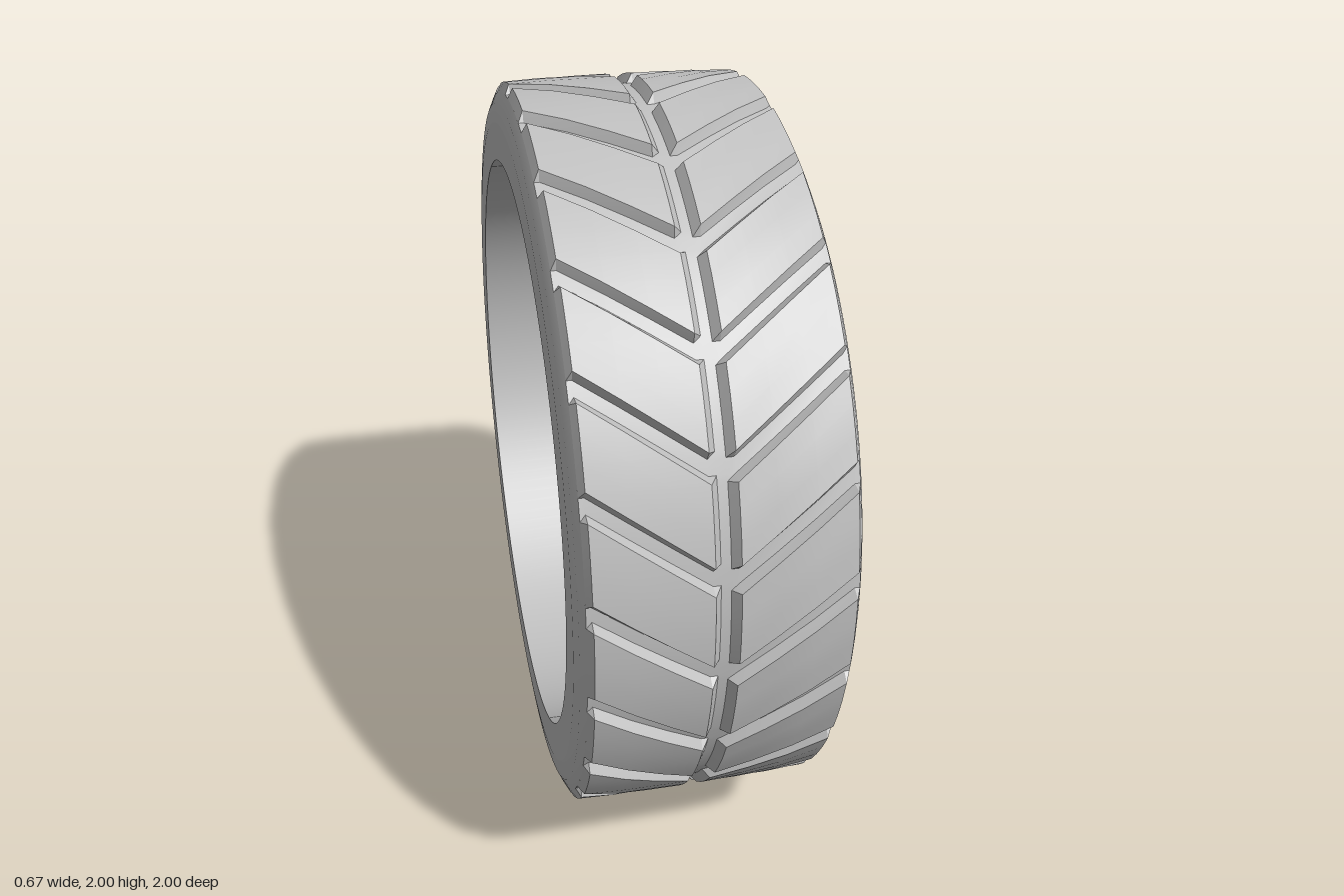
import * as THREE from 'three';
import { toCreasedNormals } from 'three/addons/utils/BufferGeometryUtils.js';

const DEG = Math.PI / 180;
const GROOVES = 24;
const PITCH = 360 / GROOVES;
const DEPTH = 0.025;

// Half of the tread section: [x, radius, groove depth], from centre to shoulder
const HALF = [
  [0.012, 0.975, 0],
  [0.03, 1, DEPTH],
  [0.12, 0.999, DEPTH],
  [0.21, 0.998, DEPTH],
  [0.305, 0.994, DEPTH],
  [0.318, 0.969, 0],
];

// One pitch around the wheel: [degrees, 1 inside a groove]
const STEPS = [[-2, 0], [-1.1, 1], [1.1, 1], [2, 0], [5.67, 0], [9.33, 0]];

// Tread lofted across columns; each column is turned to slant the grooves
function treadGeometry() {
  const columns = [
    ...HALF.map(([x, r, d]) => [-x, r, d]).reverse(),
    ...HALF,
  ];
  const rows = GROOVES * STEPS.length;
  const positions = [];
  const index = [];
  for (const [x, radius, depth] of columns) {
    const t = THREE.MathUtils.clamp((Math.abs(x) - 0.03) / 0.275, 0, 1);
    const skew = THREE.MathUtils.lerp(-5.7, 6.1, t);
    for (let j = 0; j < rows; j++) {
      const [offset, cut] = STEPS[j % STEPS.length];
      const a = (Math.floor(j / STEPS.length) * PITCH + offset + skew) * DEG;
      const r = radius - cut * depth;
      positions.push(x, r * Math.sin(a), r * Math.cos(a));
    }
  }
  for (let i = 0; i < columns.length - 1; i++) {
    for (let j = 0; j < rows; j++) {
      const k = (j + 1) % rows;
      const a = i * rows + j, b = a + rows;
      const c = (i + 1) * rows + k, d = i * rows + k;
      index.push(a, b, c, a, c, d);
    }
  }
  const geometry = new THREE.BufferGeometry();
  geometry.setAttribute('position', new THREE.Float32BufferAttribute(positions, 3));
  geometry.setIndex(index);
  return toCreasedNormals(geometry, 20 * DEG);
}

// Ring turned about the x axis from [x, radius] points
function ringGeometry(points, segments = 144) {
  const profile = points.map(([x, r]) => new THREE.Vector2(r, x));
  return new THREE.LatheGeometry(profile, segments).rotateZ(-Math.PI / 2);
}

export function createModel() {
  const group = new THREE.Group();
  group.name = 'tire';
  const rubber = new THREE.MeshStandardMaterial({ color: 0xc0c0c0 });
  rubber.name = 'grey rubber';

  const add = (name, geometry) => {
    const mesh = new THREE.Mesh(geometry, rubber);
    mesh.name = name;
    mesh.position.y = 1;
    group.add(mesh);
  };

  add('tread', treadGeometry());

  // Left sidewall blends smoothly from the shoulder to the rim opening
  add('leftSidewall', ringGeometry([
    [0.318, 0.969], [0.331, 0.94], [0.337, 0.89], [0.337, 0.79],
  ]));

  // Right sidewall has a crease between its shoulder and its flat bead
  add('rightShoulder', ringGeometry([
    [-0.337, 0.89], [-0.331, 0.94], [-0.318, 0.969],
  ]));
  add('rightBead', ringGeometry([[-0.337, 0.79], [-0.337, 0.89]]));

  // Inside of the rim opening
  add('innerWall', ringGeometry([[0.337, 0.79], [-0.337, 0.79]]));

  return group;
}
